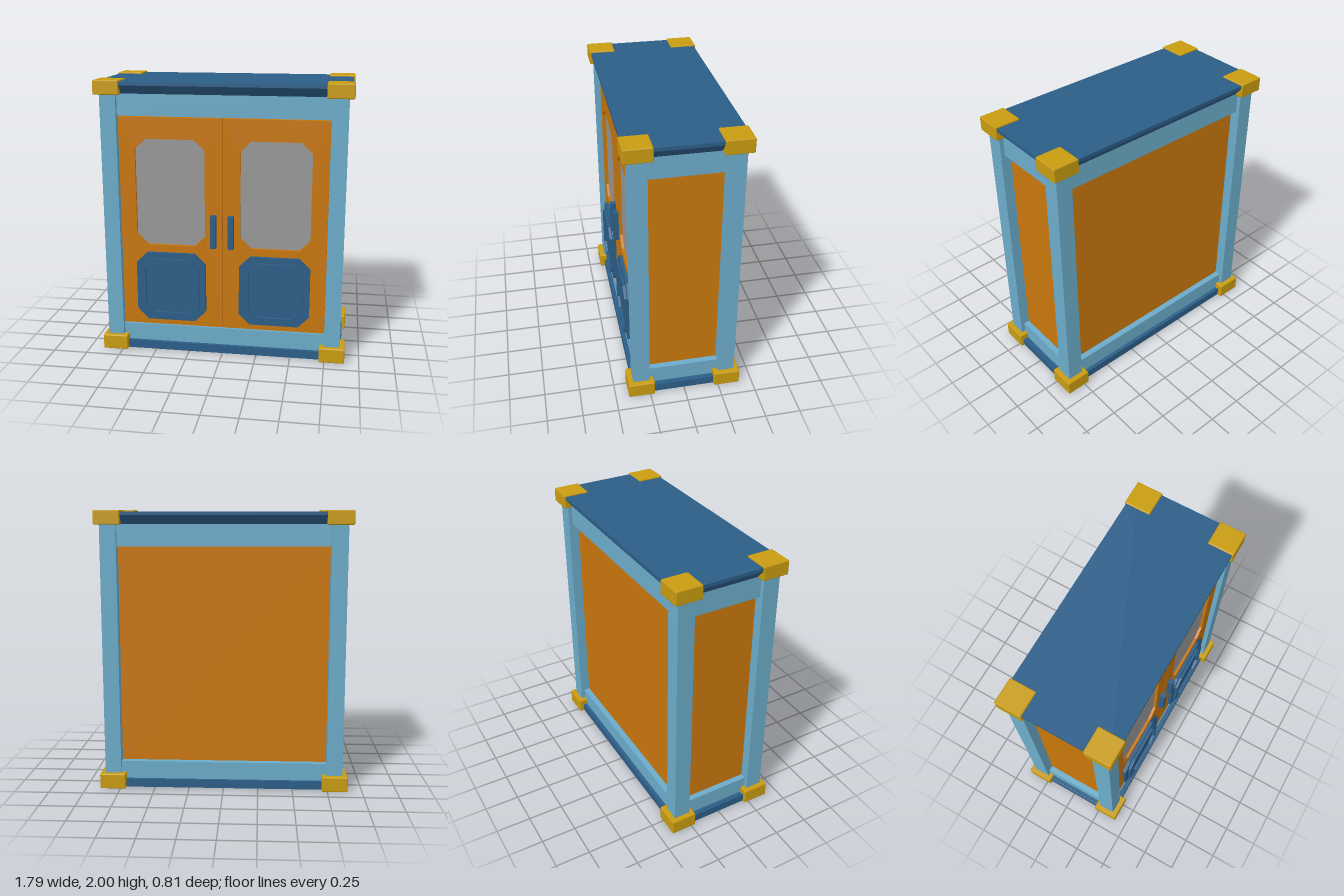
import * as THREE from 'three';
import { RoundedBoxGeometry } from 'three/addons/geometries/RoundedBoxGeometry.js';

const flat = (name, color) => {
  const m = new THREE.MeshStandardMaterial({ color });
  m.name = name;
  return m;
};

export function createModel() {
  const root = new THREE.Group();
  root.name = 'cabinet';
  const lightBlue = flat('lightBlue', 0x6cacca);
  const darkBlue = flat('darkBlue', 0x2c5e88);
  const orange = flat('orange', 0xc9770c);
  const gold = flat('gold', 0xc99c10);
  const grey = flat('grey', 0x989898);

  const add = (name, geometry, material, parent = root) => {
    const mesh = new THREE.Mesh(geometry, material);
    mesh.name = name;
    parent.add(mesh);
    return mesh;
  };

  // Box given by its lower and upper bounds
  const box = (name, material, x0, x1, y0, y1, z0, z1, parent) => {
    const g = new THREE.BoxGeometry(x1 - x0, y1 - y0, z1 - z0);
    g.translate((x0 + x1) / 2, (y0 + y1) / 2, (z0 + z1) / 2);
    return add(name, g, material, parent);
  };

  // Rectangle with cut corners
  const octagon = (x0, x1, y0, y1, c, Type = THREE.Shape) => new Type([
    [x0 + c, y0], [x1 - c, y0], [x1, y0 + c], [x1, y1 - c],
    [x1 - c, y1], [x0 + c, y1], [x0, y1 - c], [x0, y0 + c],
  ].map(([x, y]) => new THREE.Vector2(x, y)));

  const slab = (name, shape, material, z0, z1, parent) => {
    const g = new THREE.ExtrudeGeometry(shape, { depth: z1 - z0, bevelEnabled: false });
    g.translate(0, 0, z0);
    return add(name, g, material, parent);
  };

  // Corner posts with gold caps and feet
  for (const sx of [-1, 1]) {
    for (const sz of [-1, 1]) {
      add('post', new THREE.BoxGeometry(0.115, 1.86, 0.12), lightBlue)
        .position.set(sx * 0.8025, 1, sz * 0.31);
      add('cornerFoot', new RoundedBoxGeometry(0.185, 0.11, 0.19, 1, 0.008), gold)
        .position.set(sx * 0.803, 0.055, sz * 0.312);
      add('cornerCap', new RoundedBoxGeometry(0.185, 0.1, 0.19, 1, 0.008), gold)
        .position.set(sx * 0.803, 1.95, sz * 0.312);
    }
  }

  // Rails on all four sides, slightly behind the post faces
  for (const [y0, y1] of [[0.06, 0.19], [1.75, 1.91]]) {
    for (const s of [-1, 1]) {
      add('longRail', new THREE.BoxGeometry(1.5, y1 - y0, 0.08), lightBlue)
        .position.set(0, (y0 + y1) / 2, s * 0.3);
      add('sideRail', new THREE.BoxGeometry(0.08, y1 - y0, 0.51), lightBlue)
        .position.set(s * 0.79, (y0 + y1) / 2, 0);
    }
  }

  // Recessed side and back panels
  for (const s of [-1, 1]) {
    add('sidePanel', new THREE.BoxGeometry(0.03, 1.57, 0.51), orange)
      .position.set(s * 0.772, 0.97, 0);
  }
  box('backPanel', orange, -0.75, 0.75, 0.185, 1.755, -0.295, -0.265);

  // Top board: thin edge over a tapered moulding
  box('topBoard', darkBlue, -0.885, 0.885, 1.965, 1.99, -0.395, 0.395);
  const taper = new THREE.BoxGeometry(1.77, 0.06, 0.79);
  const p = taper.attributes.position;
  for (let i = 0; i < p.count; i++) {
    if (p.getY(i) < 0) {
      p.setX(i, Math.sign(p.getX(i)) * 0.835);
      p.setZ(i, Math.sign(p.getZ(i)) * 0.345);
    }
  }
  taper.computeVertexNormals();
  add('topMoulding', taper, darkBlue).position.y = 1.935;

  // Base: skirt with a pale lining around a recessed floor
  box('floor', darkBlue, -0.85, 0.85, 0.03, 0.062, -0.36, 0.36);
  for (const s of [-1, 1]) {
    add('longSkirt', new THREE.BoxGeometry(1.74, 0.06, 0.015), darkBlue)
      .position.set(0, 0.035, s * 0.3625);
    add('sideSkirt', new THREE.BoxGeometry(0.015, 0.06, 0.71), darkBlue)
      .position.set(s * 0.8625, 0.035, 0);
    add('longLining', new THREE.BoxGeometry(1.7, 0.03, 0.008), lightBlue)
      .position.set(0, 0.021, s * 0.351);
    add('sideLining', new THREE.BoxGeometry(0.008, 0.03, 0.7), lightBlue)
      .position.set(s * 0.851, 0.021, 0);
  }

  // Pair of doors
  box('doorBacking', orange, -0.745, 0.745, 0.19, 1.75, 0.27, 0.295);
  for (const s of [-1, 1]) {
    const door = new THREE.Group();
    door.name = s > 0 ? 'leftDoor' : 'rightDoor';
    root.add(door);
    const span = (a, b) => (s > 0 ? [a, b] : [-b, -a]);

    const [x0, x1] = span(0.002, 0.742);
    const leaf = octagon(x0, x1, 0.196, 1.744, 0.0001);
    const [w0, w1] = span(0.127, 0.627);
    leaf.holes.push(octagon(w0, w1, 0.815, 1.59, 0.075, THREE.Path));
    slab('doorLeaf', leaf, orange, 0.295, 0.335, door);
    slab('windowPane', octagon(w0, w1, 0.815, 1.59, 0.075), grey, 0.308, 0.315, door);

    // Stepped lower panel with a sunken centre
    const [a0, a1] = span(0.122, 0.632);
    slab('lowerPanel', octagon(a0, a1, 0.243, 0.76, 0.08), darkBlue, 0.33, 0.36, door);
    const [b0, b1] = span(0.169, 0.585);
    const ring = octagon(b0, b1, 0.283, 0.718, 0.068);
    const [c0, c1] = span(0.192, 0.562);
    ring.holes.push(octagon(c0, c1, 0.308, 0.695, 0.06, THREE.Path));
    slab('panelMoulding', ring, darkBlue, 0.36, 0.38, door);

    const [h0, h1] = span(0.043, 0.083);
    box('handle', darkBlue, h0, h1, 0.815, 1.055, 0.33, 0.376, door);
  }

  return root;
}
